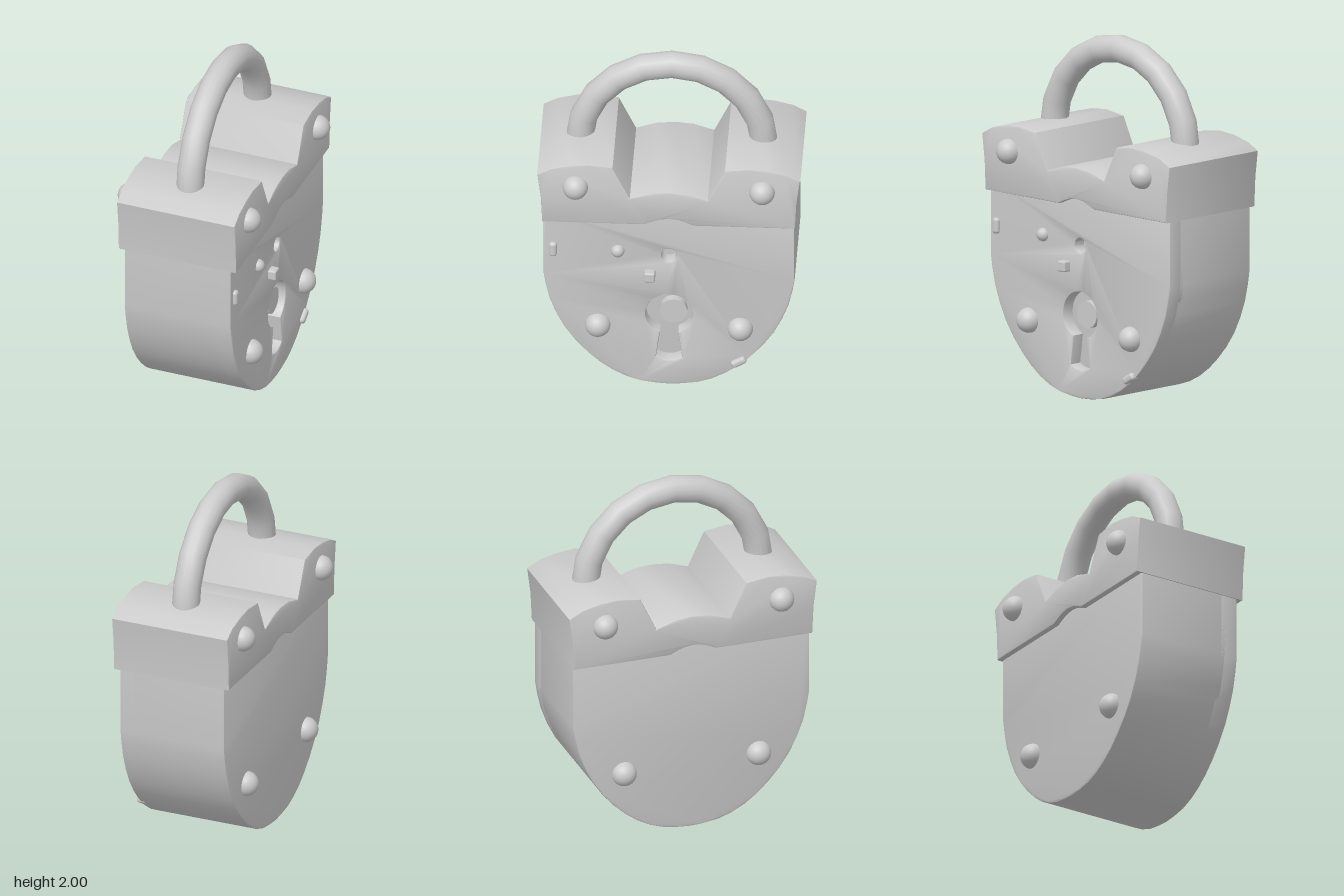
import * as THREE from 'three';
import { toCreasedNormals } from 'three/addons/utils/BufferGeometryUtils.js';
import { RoundedBoxGeometry } from 'three/addons/geometries/RoundedBoxGeometry.js';

const BEVEL = 0.01;
const material = new THREE.MeshStandardMaterial({ color: 0xcccccc });
const vec = ([x, y]) => new THREE.Vector2(x, y);

// Mirrors a half outline (running from one end to the centre line) across x = 0
function mirrored(half) {
  const other = half.filter(p => p.x > 1e-4).reverse().map(p => new THREE.Vector2(-p.x, p.y));
  return half.concat(other);
}

// Extrudes a shape between two depths with softened edges
function slab(shape, z0, z1) {
  const geometry = new THREE.ExtrudeGeometry(shape, {
    depth: z1 - z0 - 2 * BEVEL, bevelSize: BEVEL, bevelThickness: BEVEL,
    bevelOffset: -BEVEL, bevelSegments: 2, curveSegments: 16,
  });
  geometry.translate(0, 0, z0 + BEVEL);
  return toCreasedNormals(geometry, 0.6);
}

export function createModel() {
  const model = new THREE.Group();
  model.name = 'padlock';
  // The lock is built facing +z, then turned so its keyhole faces +x
  const lock = new THREE.Group();
  lock.name = 'lock';
  lock.rotation.y = Math.PI / 2;
  model.add(lock);

  function add(name, geometry, x = 0, y = 0, z = 0) {
    const mesh = new THREE.Mesh(geometry, material);
    mesh.name = name;
    mesh.position.set(x, y, z);
    lock.add(mesh);
    return mesh;
  }

  // Body outline: straight sides running into a rounded bottom
  const belly = new THREE.SplineCurve([
    [0.692, 0.72], [0.658, 0.55], [0.575, 0.36], [0.45, 0.2],
    [0.31, 0.085], [0.16, 0.02], [0, 0.003],
  ].map(vec)).getPoints(12);
  const outline = mirrored([vec([0.692, 1.15]), ...belly]);
  add('body', slab(new THREE.Shape(outline), -0.317, 0.24));

  // Front plate with the keyhole and a small round hole cut through it
  const plate = new THREE.Shape(outline);
  const keyhole = new THREE.Path();
  const neck = 0.395;
  keyhole.absarc(0, 0.47, 0.13, -Math.PI / 2 + neck, Math.PI * 1.5 - neck, false);
  keyhole.lineTo(-0.072, 0.185);
  keyhole.quadraticCurveTo(0, 0.14, 0.072, 0.185);
  keyhole.closePath();
  const pinHole = new THREE.Path().absarc(0, 0.86, 0.042, 0, Math.PI * 2, false);
  plate.holes.push(keyhole, pinHole);
  add('frontPlate', slab(plate, 0.2, 0.315));

  // Pin inside the keyhole
  const pin = new THREE.CylinderGeometry(0.076, 0.076, 0.08, 24);
  pin.rotateX(Math.PI / 2);
  add('keyPin', pin, 0.022, 0.472, 0.245);

  // Cap: two shoulders with a valley between, and a small arch in the lower edge
  const top = [
    [0.698, 1.085], [0.706, 1.25], [0.725, 1.4], [0.65, 1.44], [0.545, 1.466],
    [0.44, 1.475], [0.31, 1.457], [0.215, 1.258], [0.1, 1.295], [0, 1.304],
  ].map(vec);
  const arch = [[0, 1.125], [0.05, 1.119], [0.09, 1.105], [0.135, 1.085]].map(vec);
  const lower = arch.slice(1).reverse().map(p => new THREE.Vector2(-p.x, p.y));
  add('cap', slab(new THREE.Shape([...mirrored(top), ...lower, ...arch]), -0.35, 0.35));

  // Shackle
  add('shackle', new THREE.TorusGeometry(0.51, 0.077, 16, 10, Math.PI), 0, 1.413, 0);

  // Domed rivets on both faces
  for (const side of [1, -1]) {
    const dome = new THREE.SphereGeometry(0.071, 20, 10, 0, Math.PI * 2, 0, Math.PI / 2);
    dome.rotateX(side * Math.PI / 2);
    for (const x of [1, -1]) {
      add('capRivet', dome, x * 0.515, 1.325, side * 0.349);
      add('bodyRivet', dome, x * 0.393, 0.39, side * 0.314);
    }
  }

  // Small raised details on the front face
  add('stud', new THREE.SphereGeometry(0.038, 16, 10), -0.283, 0.885, 0.314);
  add('squarePeg', new RoundedBoxGeometry(0.06, 0.06, 0.1, 2, 0.01), -0.106, 0.735, 0.31);
  const tab = new RoundedBoxGeometry(0.044, 0.09, 0.06, 3, 0.018);
  add('sideTab', tab, -0.64, 0.887, 0.308);
  add('lowerTab', tab, 0.383, 0.168, 0.308).rotation.z = -Math.PI / 3;

  return model;
}
